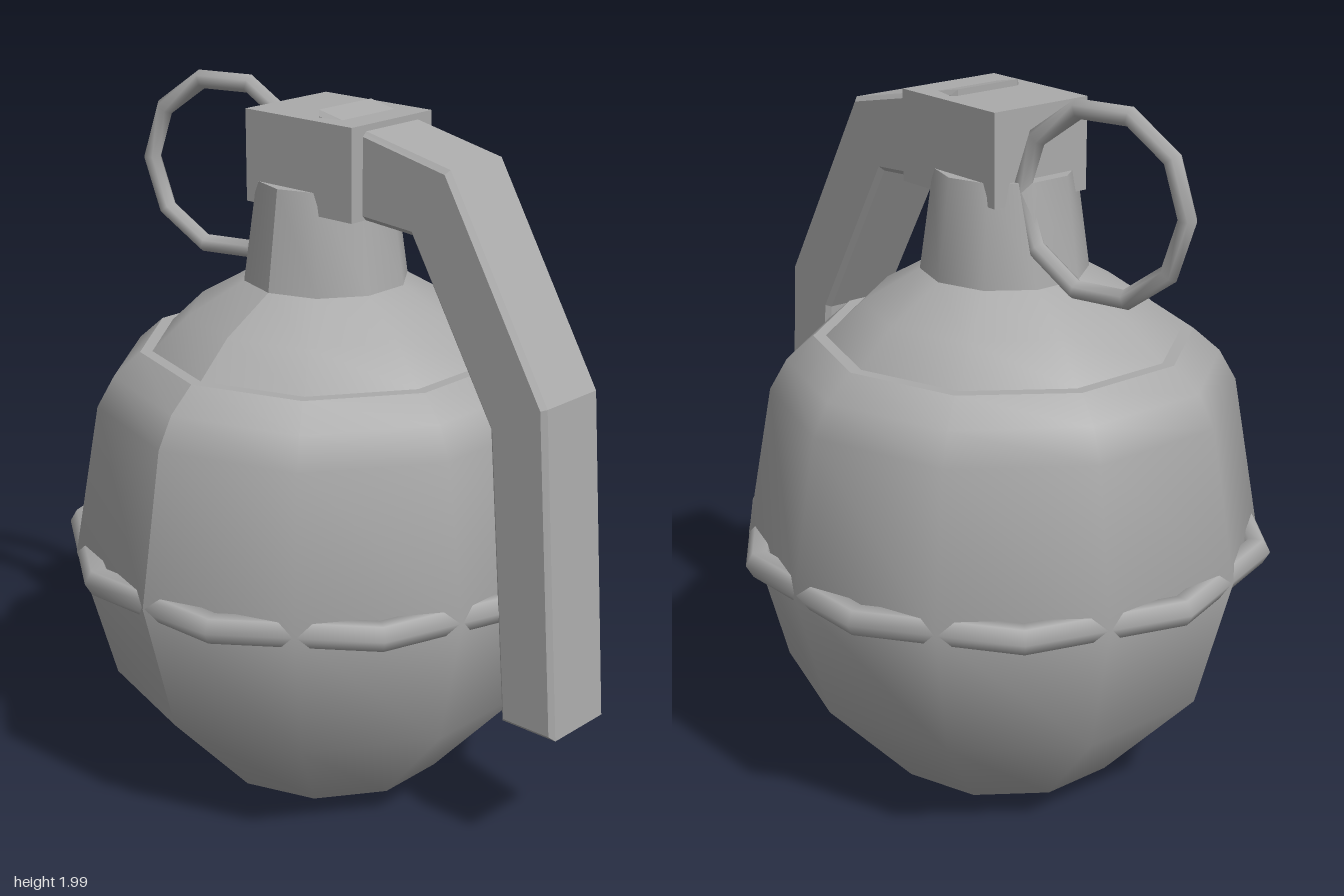
import * as THREE from 'three';

const CENTRE_X = -0.08; // axis of the body, offset by the lever

export function createModel() {
  const group = new THREE.Group();
  const grey = new THREE.MeshStandardMaterial({ color: 0xaaaaaa });
  grey.name = 'metalGrey';

  const add = (name, geometry, x = 0, y = 0, z = 0) => {
    const mesh = new THREE.Mesh(geometry, grey);
    mesh.name = name;
    mesh.position.set(x, y, z);
    group.add(mesh);
    return mesh;
  };

  // Ten-sided turned part; recomputed normals leave a seam at the front
  const turned = (name, profile) => {
    const geometry = new THREE.LatheGeometry(profile.map(([r, y]) => new THREE.Vector2(r, y)), 10);
    geometry.computeVertexNormals();
    return add(name, geometry, CENTRE_X);
  };

  // Body, shoulder step, dome and neck are separate so their edges stay sharp
  turned('body', [[0, 0.005], [0.34, 0.05], [0.614, 0.345], [0.715, 0.725], [0.64, 1.15], [0.592, 1.235], [0.518, 1.3]]);
  turned('shoulderStep', [[0.518, 1.3], [0.484, 1.3]]);
  turned('dome', [[0.484, 1.3], [0.384, 1.395], [0.228, 1.485]]);
  turned('neck', [[0.228, 1.485], [0.19, 1.76]]);
  turned('neckCap', [[0.19, 1.76], [0, 1.76]]);

  // Belt: turned half a side against the body, whose corners cut it into pieces
  const belt = new THREE.TorusGeometry(0.71, 0.04, 6, 10);
  belt.rotateX(Math.PI / 2);
  add('belt', belt, CENTRE_X, 0.727);

  // Fuse block on the neck
  add('fuseBlock', new THREE.BoxGeometry(0.38, 0.25, 0.315), -0.035, 1.825);

  // Bent safety lever with chamfered edges
  const lever = new THREE.Shape([
    [-0.01, 1.967], [-0.01, 1.74], [0.15, 1.7], [0.315, 1.688], [0.585, 1.228], [0.648, 0.418],
    [0.823, 0.418], [0.76, 1.32], [0.436, 1.875],
  ].map(([x, y]) => new THREE.Vector2(x, y)));
  const bevel = 0.013, width = 0.23;
  const leverGeometry = new THREE.ExtrudeGeometry(lever, {
    depth: width - 2 * bevel, bevelEnabled: true, bevelSegments: 1,
    bevelSize: bevel, bevelThickness: bevel, bevelOffset: -bevel,
  });
  leverGeometry.translate(0, 0, bevel - width / 2);
  add('lever', leverGeometry);

  // Pull ring, swung slightly forward
  const ring = add('pullRing', new THREE.TorusGeometry(0.247, 0.027, 6, 10), -0.465, 1.735, -0.005);
  ring.rotation.y = 0.257;

  return group;
}
